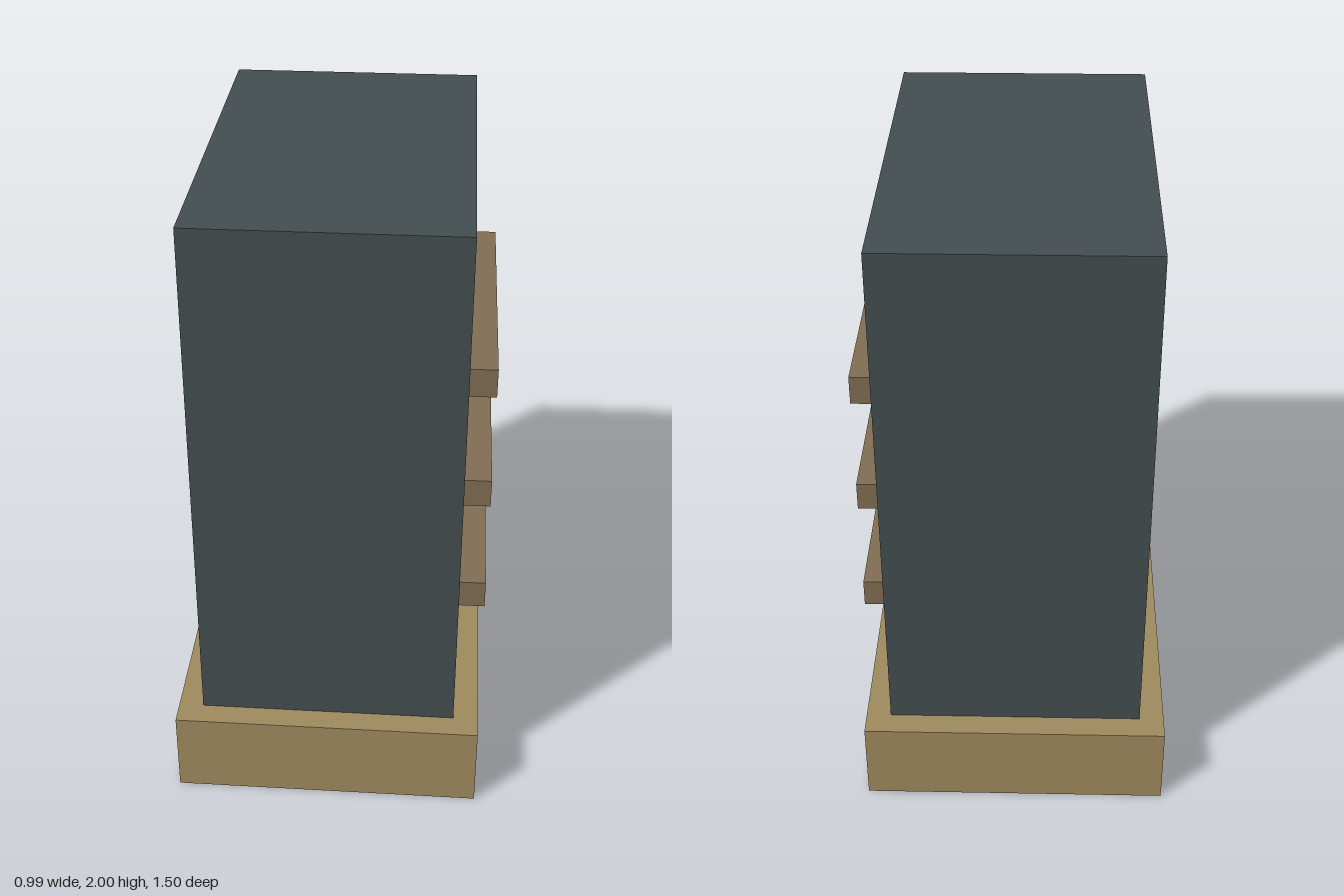
import * as THREE from 'three';

export function createModel() {
  const group = new THREE.Group();

  // Box given by its minimum and maximum corners
  function addBox(name, color, min, max) {
    const size = max.map((v, i) => v - min[i]);
    const mesh = new THREE.Mesh(
      new THREE.BoxGeometry(...size),
      new THREE.MeshStandardMaterial({ color })
    );
    mesh.position.set(...max.map((v, i) => (v + min[i]) / 2));
    mesh.name = name;
    group.add(mesh);
  }

  // Plinth and tall cabinet body
  addBox('base', 0x9e8a5e, [-0.497, 0, -0.75], [0.49, 0.28, 0.75]);
  addBox('body', 0x434d50, [-0.417, 0.28, -0.672], [0.41, 2, 0.672]);

  // Three horizontal slats on the left side
  for (let i = 0; i < 3; i++) {
    const y = 0.61 + i * 0.395;
    addBox(`slat${i + 1}`, 0x806d54, [0.41, y, -0.496], [0.497, y + 0.094, 0.496]);
  }

  return group;
}
